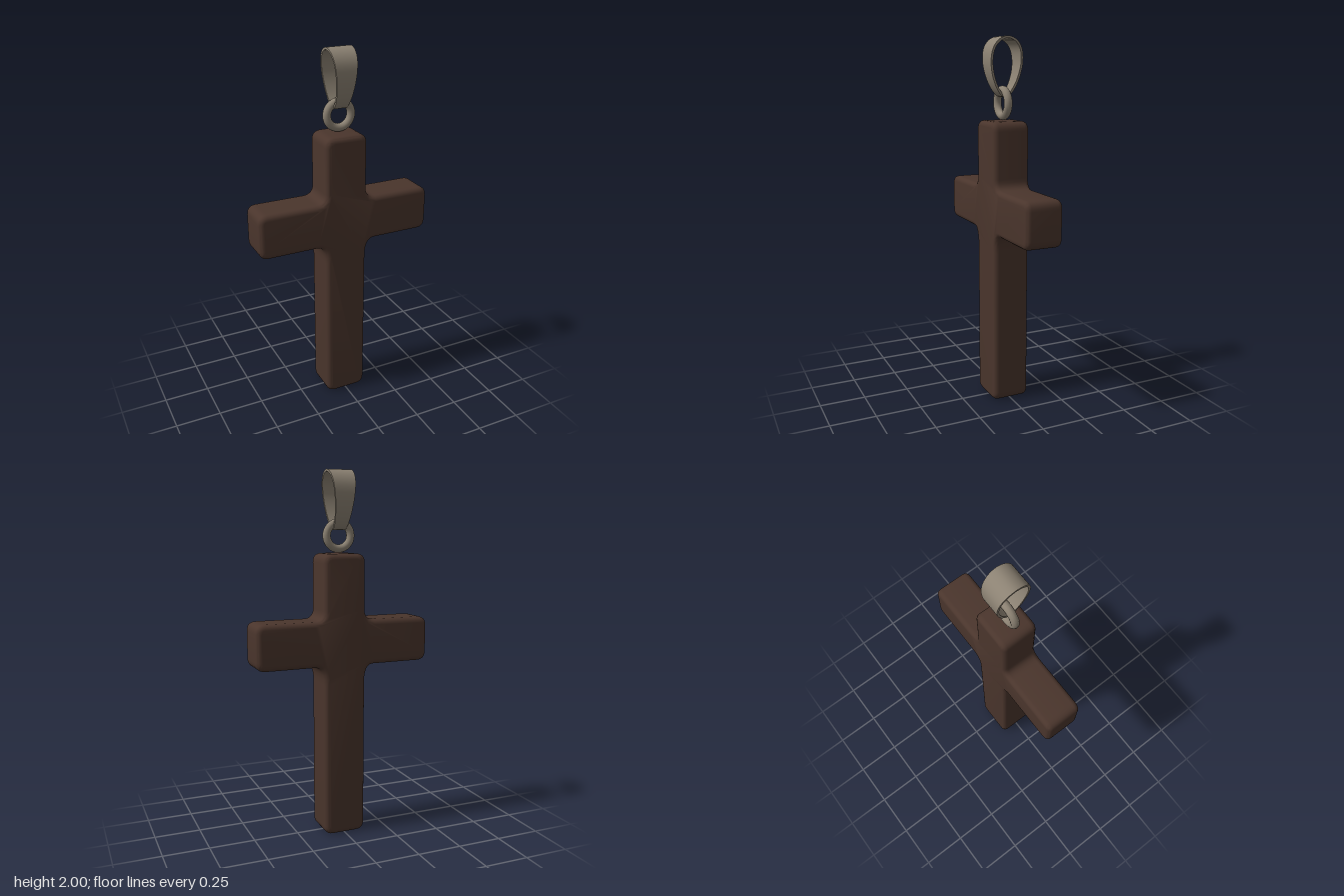
import * as THREE from 'three';
import { toCreasedNormals } from 'three/addons/utils/BufferGeometryUtils.js';

const wood = new THREE.MeshStandardMaterial({ color: 0x4a352c });
wood.name = 'dark wood';
const metal = new THREE.MeshStandardMaterial({ color: 0x8c8273 });
metal.name = 'dull metal';

function add(group, name, geometry, material) {
  const mesh = new THREE.Mesh(geometry, material);
  mesh.name = name;
  group.add(mesh);
  return mesh;
}

// Closed outline whose corners are rounded by (rx, ry) along their edges
function roundedOutline(corners) {
  const shape = new THREE.Shape();
  const n = corners.length;
  const cut = (from, to) => {
    const [x, y, rx, ry] = from;
    return [x + Math.sign(to[0] - x) * rx, y + Math.sign(to[1] - y) * ry];
  };
  corners.forEach((c, i) => {
    const start = cut(c, corners[(i + n - 1) % n]);
    const end = cut(c, corners[(i + 1) % n]);
    if (i === 0) shape.moveTo(...start);
    else shape.lineTo(...start);
    shape.quadraticCurveTo(c[0], c[1], ...end);
  });
  shape.closePath();
  return shape;
}

// Cross body: right half of the outline, mirrored, with soft bevelled edges
function crossGeometry() {
  const half = [
    [0.118, 0.005, 0.05, 0.05],
    [0.118, 0.96, 0.05, 0.1],
    [0.495, 0.96, 0.05, 0.05],
    [0.495, 1.207, 0.05, 0.05],
    [0.118, 1.207, 0.055, 0.055],
    [0.118, 1.562, 0.05, 0.05],
  ];
  const mirrored = half.map(([x, ...rest]) => [-x, ...rest]).reverse();
  const bevel = 0.028, depth = 0.206;
  const geometry = new THREE.ExtrudeGeometry(roundedOutline([...half, ...mirrored]), {
    depth: depth - 2 * bevel, curveSegments: 6,
    bevelThickness: bevel, bevelSize: bevel, bevelOffset: -bevel, bevelSegments: 5,
  });
  geometry.translate(0, 0, bevel - depth / 2);
  return toCreasedNormals(geometry, 0.6);
}

// Bail: a flat strip bent into a teardrop loop, wider at the top
function bailGeometry() {
  const side = [[0.045, 1.978], [0.075, 1.94], [0.086, 1.88], [0.077, 1.81], [0.05, 1.74], [0.02, 1.7]];
  const loop = [[0, 1.994], ...side, [0, 1.691], ...side.map(([z, y]) => [-z, y]).reverse()];
  const curve = new THREE.CatmullRomCurve3(loop.map(([z, y]) => new THREE.Vector3(0, y, z)), true);
  const steps = 56, t = 0.006;
  const positions = [], indices = [];
  for (let i = 0; i < steps; i++) {
    const p = curve.getPointAt(i / steps);
    const d = curve.getTangentAt(i / steps);
    const w = THREE.MathUtils.mapLinear(p.y, 1.69, 2, 0.036, 0.07);
    for (const [sx, so] of [[-1, 1], [1, 1], [1, -1], [-1, -1]]) {
      positions.push(sx * w, p.y + so * t * d.z, p.z - so * t * d.y);
    }
    const a = i * 4, b = ((i + 1) % steps) * 4;
    for (let c = 0; c < 4; c++) {
      const e = (c + 1) % 4;
      indices.push(a + c, b + c, b + e, a + c, b + e, a + e);
    }
  }
  const geometry = new THREE.BufferGeometry();
  geometry.setAttribute('position', new THREE.Float32BufferAttribute(positions, 3));
  geometry.setIndex(indices);
  return toCreasedNormals(geometry, 0.8);
}

export function createModel() {
  const model = new THREE.Group();
  model.name = 'cross pendant';

  add(model, 'cross', crossGeometry(), wood);

  // Jump ring joining the cross and the bail
  const ring = add(model, 'ring', new THREE.TorusGeometry(0.069, 0.022, 12, 32), metal);
  ring.position.y = 1.655;

  add(model, 'bail', bailGeometry(), metal);
  return model;
}
